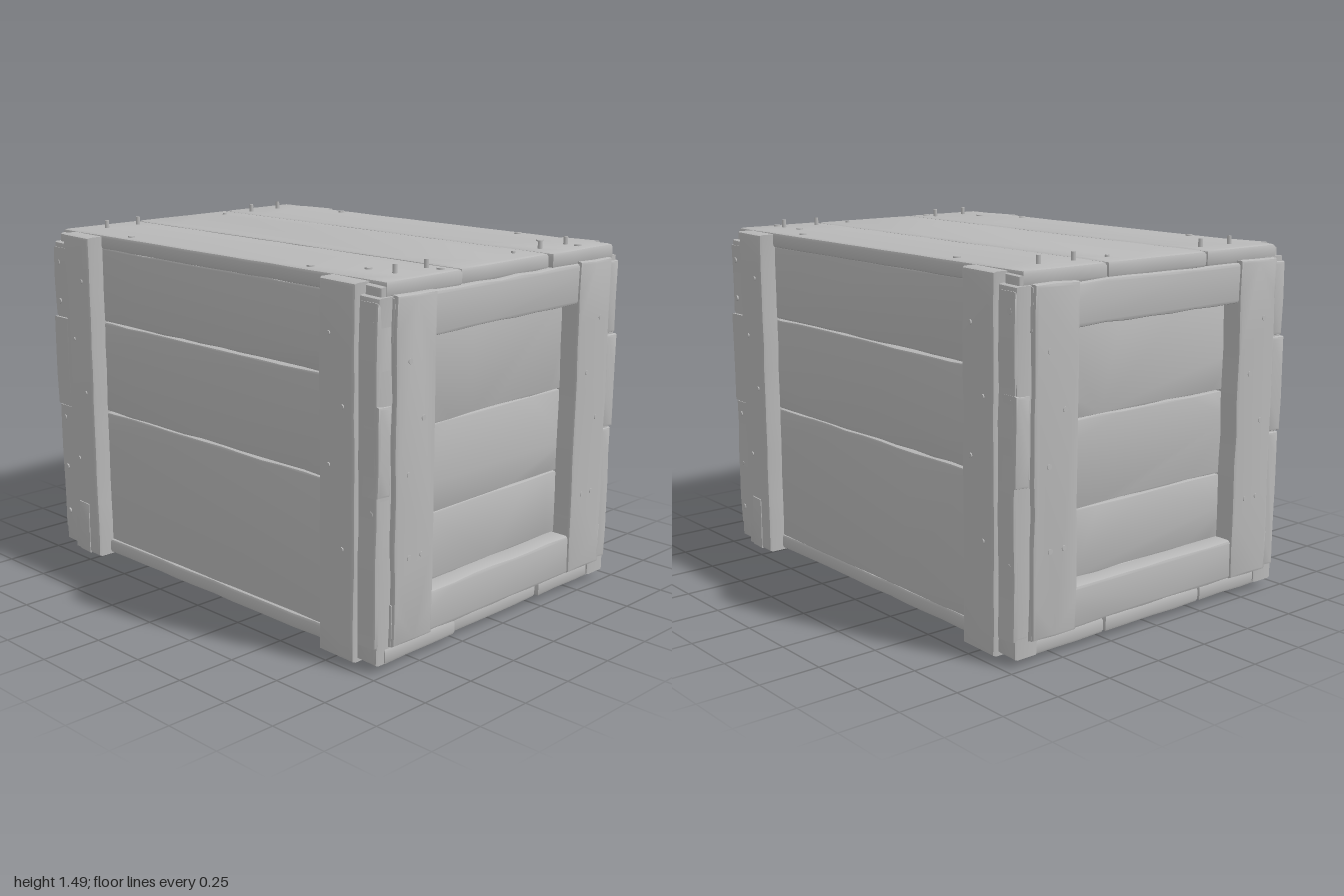
import * as THREE from 'three';
import { toCreasedNormals } from 'three/addons/utils/BufferGeometryUtils.js';

const wood = new THREE.MeshStandardMaterial({ color: 0xb8b8b8 });
wood.name = 'plain grey wood';

let seed = 7;
const random = () => (seed = (seed * 16807) % 2147483647) / 2147483647;

function add(parent, name, geometry) {
  const mesh = new THREE.Mesh(geometry, wood);
  mesh.name = name;
  parent.add(mesh);
  return mesh;
}

// Board with worn, slightly wavy edges and a bevel; z0 to z1 is its thickness.
function board(parent, name, x0, x1, y0, y1, z0, z1, bevel = 0.012) {
  const b = bevel;
  const corners = [[x0 + b, y0 + b], [x1 - b, y0 + b], [x1 - b, y1 - b], [x0 + b, y1 - b]];
  const points = [];
  corners.forEach(([ax, ay], i) => {
    const [bx, by] = corners[(i + 1) % 4];
    const length = Math.hypot(bx - ax, by - ay);
    const steps = Math.max(1, Math.round(length / 0.12));
    const nx = (by - ay) / length, ny = -(bx - ax) / length;
    for (let k = 0; k < steps; k++) {
      const t = k / steps, w = k ? (random() - 0.6) * 0.007 : -0.003;
      points.push(new THREE.Vector2(ax + (bx - ax) * t + nx * w, ay + (by - ay) * t + ny * w));
    }
  });
  const geometry = new THREE.ExtrudeGeometry(new THREE.Shape(points), {
    depth: z1 - z0 - 2 * b, bevelThickness: b, bevelSize: b, bevelSegments: 2,
  });
  geometry.translate(0, 0, z0 + b);
  add(parent, name, toCreasedNormals(geometry, 0.7));
}

// Nail standing out of a face at depth z.
function nail(parent, x, y, z, height = 0.007, radius = 0.014) {
  const geometry = new THREE.CylinderGeometry(radius * 0.85, radius, height + 0.02, 8);
  geometry.rotateX(Math.PI / 2);
  add(parent, 'nail', geometry).position.set(x, y, z + height / 2 - 0.01);
}

// Long wall: three planks, two battens and the nailed corner strips.
function longWall() {
  const wall = new THREE.Group();
  wall.name = 'longWall';
  [[0.085, 0.679], [0.683, 1.08], [1.084, 1.402]].forEach(([a, b]) =>
    board(wall, 'wallPlank', -0.9, 0.9, a, b, 0.59, 0.66, 0.008));
  for (const s of [-1, 1]) {
    const span = (a, b) => (s > 0 ? [a, b] : [-b, -a]);
    board(wall, 'batten', ...span(0.695, 0.88), 0.025, 1.455, 0.6, 0.735, 0.015);
    board(wall, 'cornerStrip', ...span(0.872, 0.977), 0.035, 1.41, 0.6, 0.712);
    board(wall, 'cornerBlock', ...span(0.88, 0.965), 0.03, 1.445, 0.6, 0.69);
    for (const y of [0.18, 0.39, 0.62, 0.77, 1.0, 1.15, 1.32]) nail(wall, s * 0.945, y, 0.712);
    for (const [x, y] of [[0.82, 0.46], [0.75, 0.77], [0.82, 1.0], [0.75, 1.26]]) {
      nail(wall, s * x, y, 0.735, 0.005, 0.011);
    }
  }
  board(wall, 'battenSplinter', -0.835, -0.762, 0.028, 0.26, 0.71, 0.739, 0.004);
  return wall;
}

// End wall: recessed panel planks inside a thick frame.
function endWall() {
  const wall = new THREE.Group();
  wall.name = 'endWall';
  [[0.2, 0.258], [0.26, 0.53], [0.533, 0.878], [0.882, 1.3]].forEach(([a, b]) =>
    board(wall, 'panelPlank', -0.5, 0.5, a, b, 0.86, 0.915, 0.005));
  for (const s of [-1, 1]) {
    const [a, b] = s > 0 ? [0.43, 0.645] : [-0.645, -0.43];
    board(wall, 'frameStile', a, b, 0.095, 1.41, 0.88, 1.0);
  }
  board(wall, 'frameTopRail', -0.65, 0.66, 1.238, 1.402, 0.88, 0.99);
  board(wall, 'frameBottomRail', -0.65, 0.66, 0.095, 0.262, 0.88, 0.99);
  // Edge strips, broken into pieces on one side
  [[0.1, 0.68], [0.682, 1.082], [1.085, 1.39]].forEach(([a, b], i) =>
    board(wall, 'edgeStrip', 0.64, i === 1 ? 0.722 : 0.715, a, b, 0.88, i === 1 ? 0.99 : 0.985));
  board(wall, 'edgeStrip', -0.72, -0.64, 0.1, 1.39, 0.88, 0.975);
  board(wall, 'edgePatch', -0.722, -0.65, 0.68, 1.022, 0.9, 0.985);
  const spots = [[0.575, 1.17], [0.5, 0.95], [0.575, 0.75], [0.5, 0.43], [0.567, 0.43]];
  for (const s of [-1, 1]) for (const [x, y] of spots) nail(wall, s * x, y, 1.0, 0.003, 0.013);
  return wall;
}

// Lid or floor: three long planks with flush and half-pulled nails.
function deck(name, z0, z1, tall) {
  const panel = new THREE.Group();
  panel.name = name;
  board(panel, 'deckPlank', -0.97, 0.98, 0.273, 0.672, z0, z1, 0.014);
  board(panel, 'deckPlank', -0.972, 0.962, -0.256, 0.266, z0, z1, 0.014);
  board(panel, 'deckPlank', -0.972, 0.97, -0.665, -0.264, z0, z1, 0.014);
  const flush = [[-0.53, 0.62], [0.53, 0.62], [-0.54, -0.62], [0.54, -0.62],
    [0.73, 0.51], [0.92, 0.51], [0.73, -0.51], [0.92, -0.33]];
  for (const [x, y] of flush) nail(panel, x, y, z1, 0.006, 0.017);
  for (const x of [-0.86, 0.86]) {
    for (const y of [-0.51, -0.34, 0.17, 0.34, 0.51]) {
      nail(panel, x, y, z1, Math.abs(y) > 0.2 ? tall : 0.008, 0.01);
    }
  }
  return panel;
}

export function createModel() {
  const crate = new THREE.Group();
  crate.name = 'woodenCrate';

  // Solid core keeps the plank gaps closed
  add(crate, 'core', new THREE.BoxGeometry(1.76, 1.35, 1.22)).position.y = 0.745;

  for (const turn of [0, Math.PI]) {
    const side = longWall();
    side.rotation.y = turn;
    const end = endWall();
    end.rotation.y = turn + Math.PI / 2;
    crate.add(side, end);
  }

  const lid = deck('lid', 1.395, 1.46, 0.033);
  lid.rotation.x = -Math.PI / 2;
  const floor = deck('floor', -0.095, -0.03, 0.026);
  floor.rotation.x = Math.PI / 2;
  crate.add(lid, floor);
  return crate;
}
